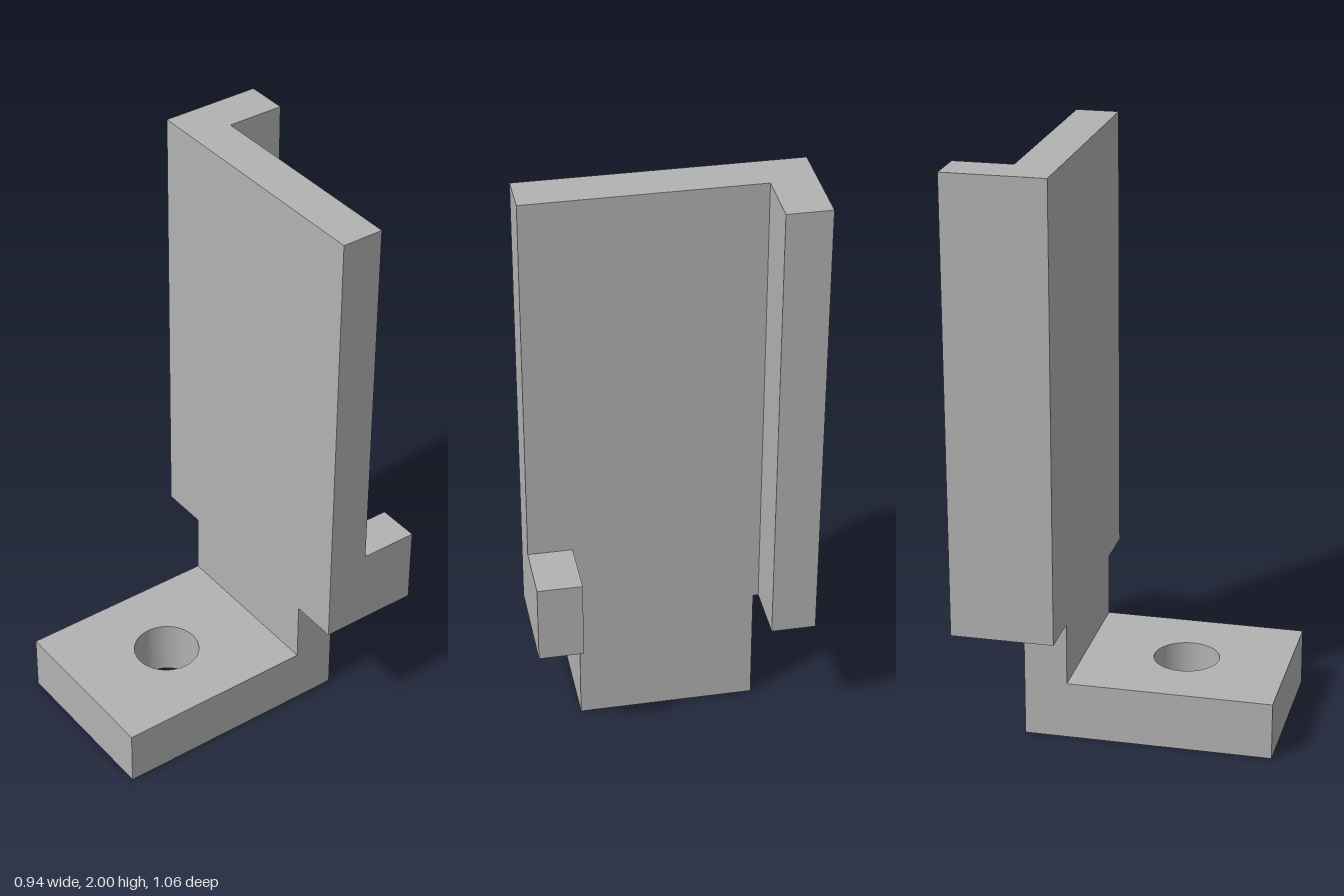
import * as THREE from 'three';

export function createModel() {
  const group = new THREE.Group();
  const grey = new THREE.MeshStandardMaterial({ color: 0xb2b2b2 });
  grey.name = 'plain grey';

  const halfPlate = 0.468, halfNeck = 0.3;
  const back = -0.53, plateBack = -0.325, plateFront = -0.177, front = 0.53;
  const shoulder = 0.418, tabTop = 0.695, top = 2, baseTop = 0.2;

  const add = (name, geometry) => {
    const mesh = new THREE.Mesh(geometry, grey);
    mesh.name = name;
    group.add(mesh);
    return mesh;
  };
  const block = (name, x0, x1, y0, y1, z0, z1) =>
    add(name, new THREE.BoxGeometry(x1 - x0, y1 - y0, z1 - z0))
      .position.set((x0 + x1) / 2, (y0 + y1) / 2, (z0 + z1) / 2);

  // Upright plate with a narrower neck reaching the floor
  const outline = new THREE.Shape([
    [-halfNeck, 0], [halfNeck, 0], [halfNeck, shoulder], [halfPlate, shoulder],
    [halfPlate, top], [-halfPlate, top], [-halfPlate, shoulder], [-halfNeck, shoulder],
  ].map(([x, y]) => new THREE.Vector2(x, y)));
  add('uprightPlate', new THREE.ExtrudeGeometry(outline, {
    depth: plateFront - plateBack, bevelEnabled: false,
  })).position.z = plateBack;

  // Foot with a round bolt hole, drawn in plan (shape y = -z) and raised
  const foot = new THREE.Shape([
    [-halfNeck, -front], [halfNeck, -front], [halfNeck, -plateFront], [-halfNeck, -plateFront],
  ].map(([x, y]) => new THREE.Vector2(x, y)));
  foot.holes.push(new THREE.Path().absarc(0, -0.174, 0.114, 0, Math.PI * 2, true));
  add('foot', new THREE.ExtrudeGeometry(foot, {
    depth: baseTop, bevelEnabled: false, curveSegments: 32,
  }).rotateX(-Math.PI / 2));

  // Full-height flange on one side, short tab on the other
  block('rightFlange', -halfPlate, -0.318, shoulder, top, back, plateBack);
  block('leftTab', 0.318, halfPlate, shoulder, tabTop, back, plateBack);

  return group;
}
